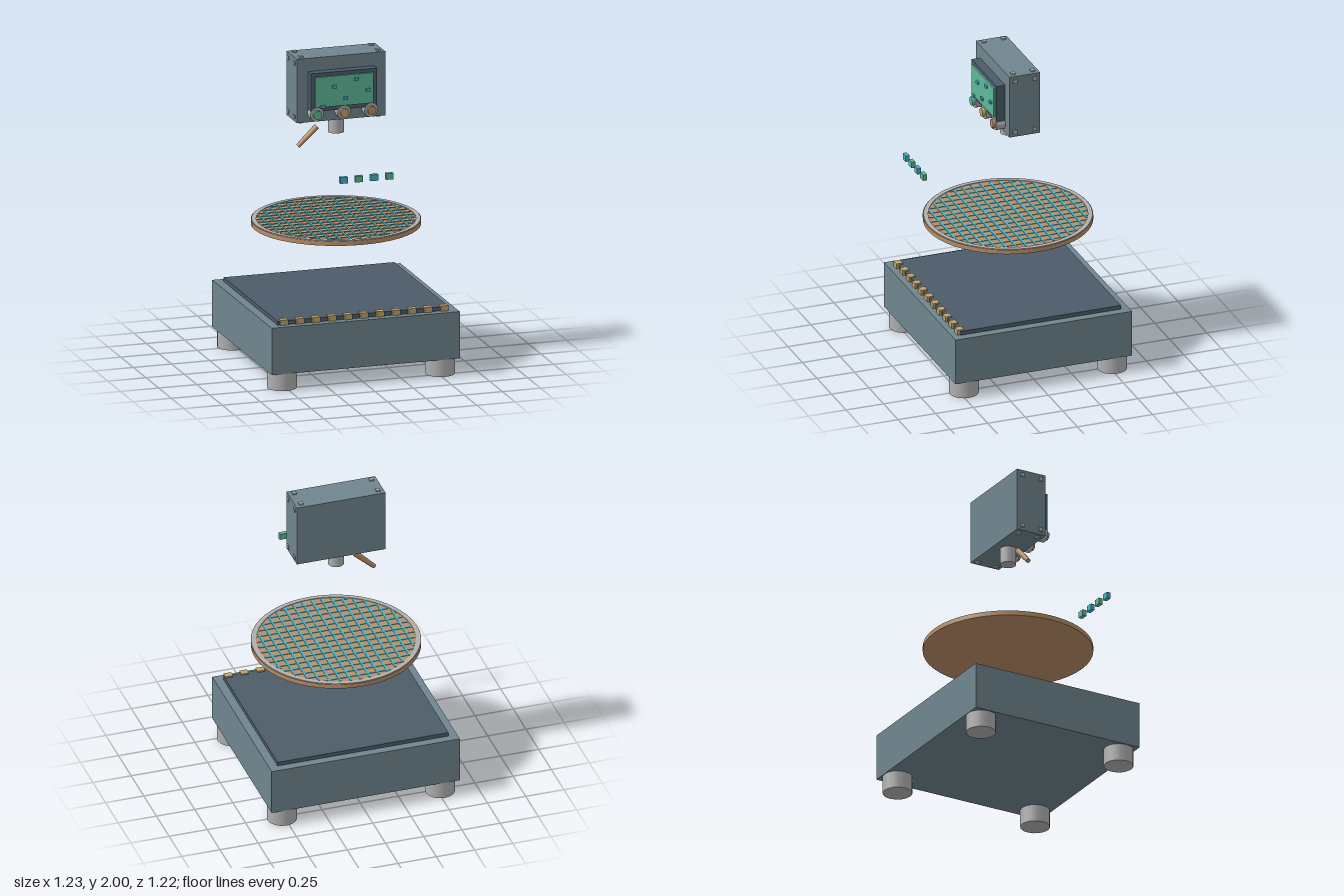
import * as THREE from 'three';

const mat = (name, color) => Object.assign(new THREE.MeshStandardMaterial({ color }), { name });

export function createModel() {
  const slate = mat('slate', 0x6f858e), dark = mat('darkSlate', 0x4c5c68);
  const steel = mat('steel', 0xb0b0b0), copper = mat('copper', 0xb98e66);
  const cyan = mat('cyan', 0x4ab2c4), green = mat('green', 0x5fb898), gold = mat('gold', 0xbda46a);

  const model = new THREE.Group();
  model.name = 'inspectionStation';
  const ZC = -0.022; // shared depth centre of the stacked assemblies

  const group = (name) => {
    const g = new THREE.Group();
    g.name = name;
    model.add(g);
    return g;
  };
  const add = (parent, name, geometry, material, x, y, z) => {
    const m = new THREE.Mesh(geometry, material);
    m.name = name;
    m.position.set(x, y, z);
    parent.add(m);
    return m;
  };
  const box = (parent, name, material, w, h, d, x, y, z) =>
    add(parent, name, new THREE.BoxGeometry(w, h, d), material, x, y, z);
  const cyl = (parent, name, material, r, h, x, y, z, sides = 16) =>
    add(parent, name, new THREE.CylinderGeometry(r, r, h, sides), material, x, y, z);

  // Base block, stage plate and feet
  const base = group('base');
  box(base, 'baseBlock', slate, 1.23, 0.302, 1.176, 0, 0.262, ZC);
  box(base, 'stagePlate', dark, 1.118, 0.026, 1.07, 0, 0.426, ZC);
  for (const sx of [-1, 1]) for (const sz of [-1, 1])
    cyl(base, 'foot', steel, 0.093, 0.111, sx * 0.517, 0.0555, ZC + sz * 0.494);

  // Row of gold contacts along the front edge
  const contacts = group('contacts');
  for (let i = 0; i < 11; i++)
    box(contacts, 'contact', gold, 0.05, 0.034, 0.043, -0.519 + i * 0.1049, 0.431, 0.507);

  // Suspended disc with rim and raised grid
  const disc = group('disc');
  cyl(disc, 'discBody', copper, 0.53, 0.029, 0, 0.8965, ZC, 48);
  const rimShape = new THREE.Shape().absarc(0, 0, 0.525, 0, Math.PI * 2, false);
  rimShape.holes.push(new THREE.Path().absarc(0, 0, 0.496, 0, Math.PI * 2, true));
  const rim = new THREE.ExtrudeGeometry(rimShape, { depth: 0.005, bevelEnabled: false, curveSegments: 48 });
  rim.rotateX(-Math.PI / 2);
  add(disc, 'discRim', rim, steel, 0, 0.91, ZC);
  for (let i = -7; i <= 7; i++) {
    const o = i * 0.0625;
    const len = 2 * Math.sqrt(0.49 ** 2 - o * o);
    box(disc, 'gridLineAcross', cyan, len, 0.004, 0.013, 0, 0.9125, ZC + o);
    box(disc, 'gridLineDeep', cyan, 0.013, 0.0036, len, o, 0.9125, ZC);
  }

  // Small chips floating in front
  const chips = group('floatingChips');
  for (let i = 0; i < 4; i++)
    box(chips, 'chip', i % 2 ? green : cyan, 0.049, 0.04, 0.026, -0.156 + i * 0.0997, 1.337, 0.596);

  // Instrument head and its screws
  const head = group('head');
  box(head, 'headCase', slate, 0.58, 0.412, 0.205, 0, 1.784, ZC);
  for (const sx of [-1, 1]) for (const sz of [-1, 1]) for (const sy of [-1, 1]) {
    const z = ZC + sz * 0.065;
    box(head, 'capScrew', steel, 0.026, 0.02, 0.026, sx * 0.252, 1.784 + sy * 0.206, z);
    box(head, 'sideScrew', steel, 0.018, 0.026, 0.026, sx * 0.289, 1.784 + sy * 0.173, z);
  }

  // Display with bezel and small markers
  box(head, 'bezel', dark, 0.434, 0.246, 0.06, 0, 1.782, 0.107);
  box(head, 'screen', green, 0.38, 0.195, 0.012, 0, 1.783, 0.142);
  const markers = [[0.077, 1.85], [-0.069, 1.813], [0.151, 1.774], [0.005, 1.733], [-0.143, 1.69]];
  for (const [x, y] of markers) box(head, 'screenMarker', cyan, 0.027, 0.018, 0.014, x, y, 0.154);

  // Three knobs under the display
  [green, gold, copper].forEach((material, i) => {
    const x = (i - 1) * 0.177;
    cyl(head, 'knobBase', steel, 0.044, 0.06, x, 1.638, 0.108).rotation.x = Math.PI / 2;
    cyl(head, 'knobCap', material, 0.028, 0.024, x, 1.638, 0.145).rotation.x = Math.PI / 2;
  });

  // Lens barrel and slanted probe
  cyl(head, 'lensBarrel', steel, 0.051, 0.115, 0, 1.5305, ZC);
  const top = new THREE.Vector3(-0.125, 1.518, ZC), tip = new THREE.Vector3(-0.25, 1.4, ZC);
  const dir = top.clone().sub(tip);
  const probe = add(head, 'probe', new THREE.CylinderGeometry(0.02, 0.015, dir.length(), 8), copper, 0, 0, 0);
  probe.position.copy(top).add(tip).multiplyScalar(0.5);
  probe.quaternion.setFromUnitVectors(new THREE.Vector3(0, 1, 0), dir.normalize());

  return model;
}
